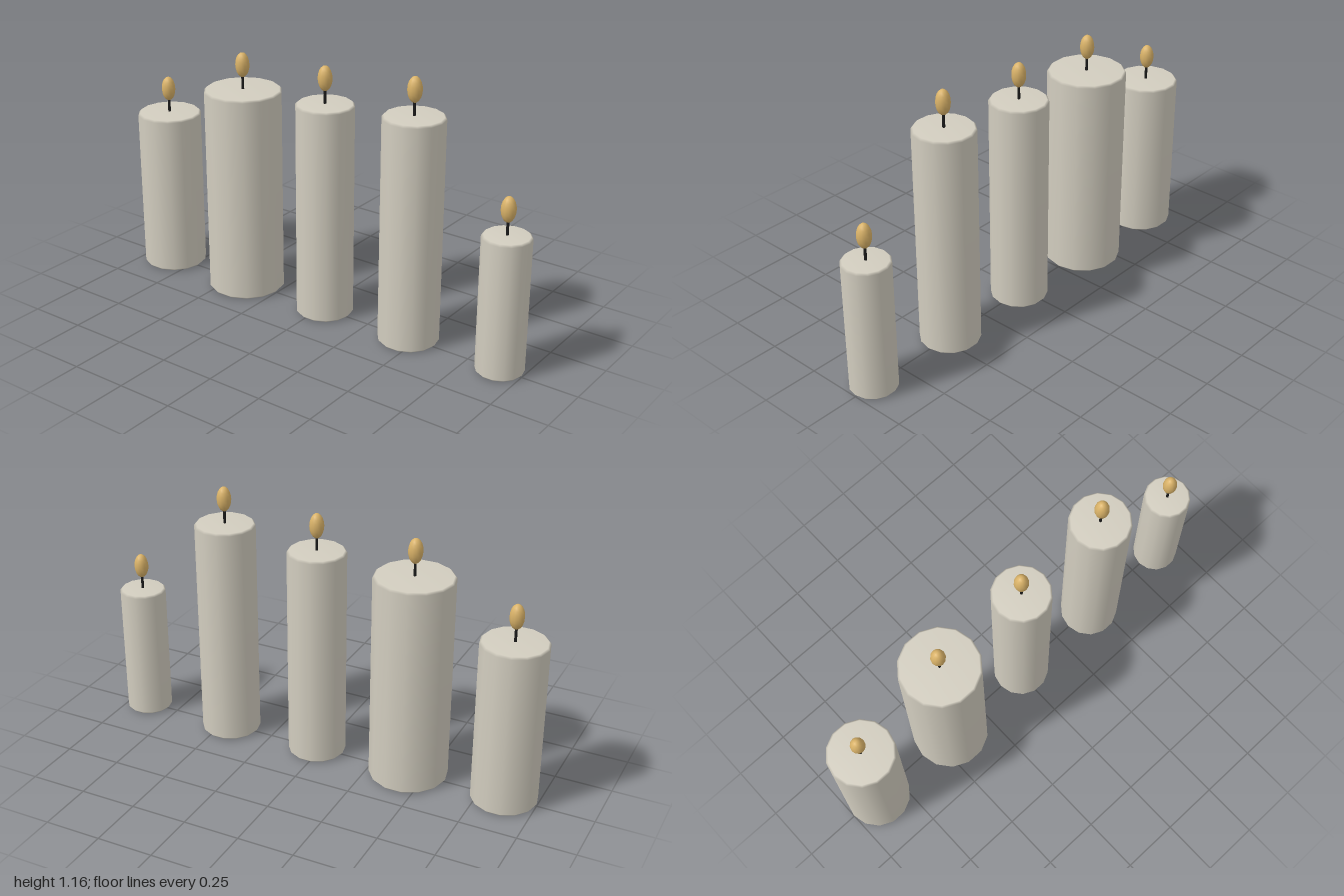
import * as THREE from 'three';

const SIDES = 14;

function material(name, color) {
  const m = new THREE.MeshStandardMaterial({ color });
  m.name = name;
  return m;
}

export function createModel() {
  const wax = material('ivory wax', 0xd2cdbf);
  const wickBlack = material('wick black', 0x1a1a1a);
  const flameGold = material('flame gold', 0xd9b268);

  const group = new THREE.Group();
  group.name = 'candles';

  function add(parent, name, geometry, mat, y = 0) {
    const mesh = new THREE.Mesh(geometry, mat);
    mesh.name = name;
    mesh.position.y = y;
    parent.add(mesh);
  }

  // Pillar with small softened rims, smooth shaded
  function pillar(r, h) {
    const b = 0.009;
    const profile = [
      [0, 0], [r - b, 0], [r, b], [r, h - b], [r - b, h], [0, h],
    ].map(([x, y]) => new THREE.Vector2(x, y));
    return new THREE.LatheGeometry(profile, SIDES, Math.PI / 2);
  }

  const wickShape = new THREE.CylinderGeometry(0.006, 0.006, 0.09, 8);
  const flameShape = new THREE.SphereGeometry(1, 12, 10).scale(0.031, 0.055, 0.031);

  // Centre x, radius, height of each candle
  const candles = [
    [-0.857, 0.143, 0.74],
    [-0.42, 0.171, 0.935],
    [0.02, 0.126, 0.96],
    [0.457, 0.131, 1.0],
    [0.898, 0.102, 0.602],
  ];

  for (const [x, r, h] of candles) {
    const candle = new THREE.Group();
    candle.name = 'candle';
    candle.position.x = x;
    add(candle, 'waxPillar', pillar(r, h), wax);
    add(candle, 'wick', wickShape, wickBlack, h + 0.035);
    add(candle, 'flame', flameShape, flameGold, h + 0.109);
    group.add(candle);
  }
  return group;
}
